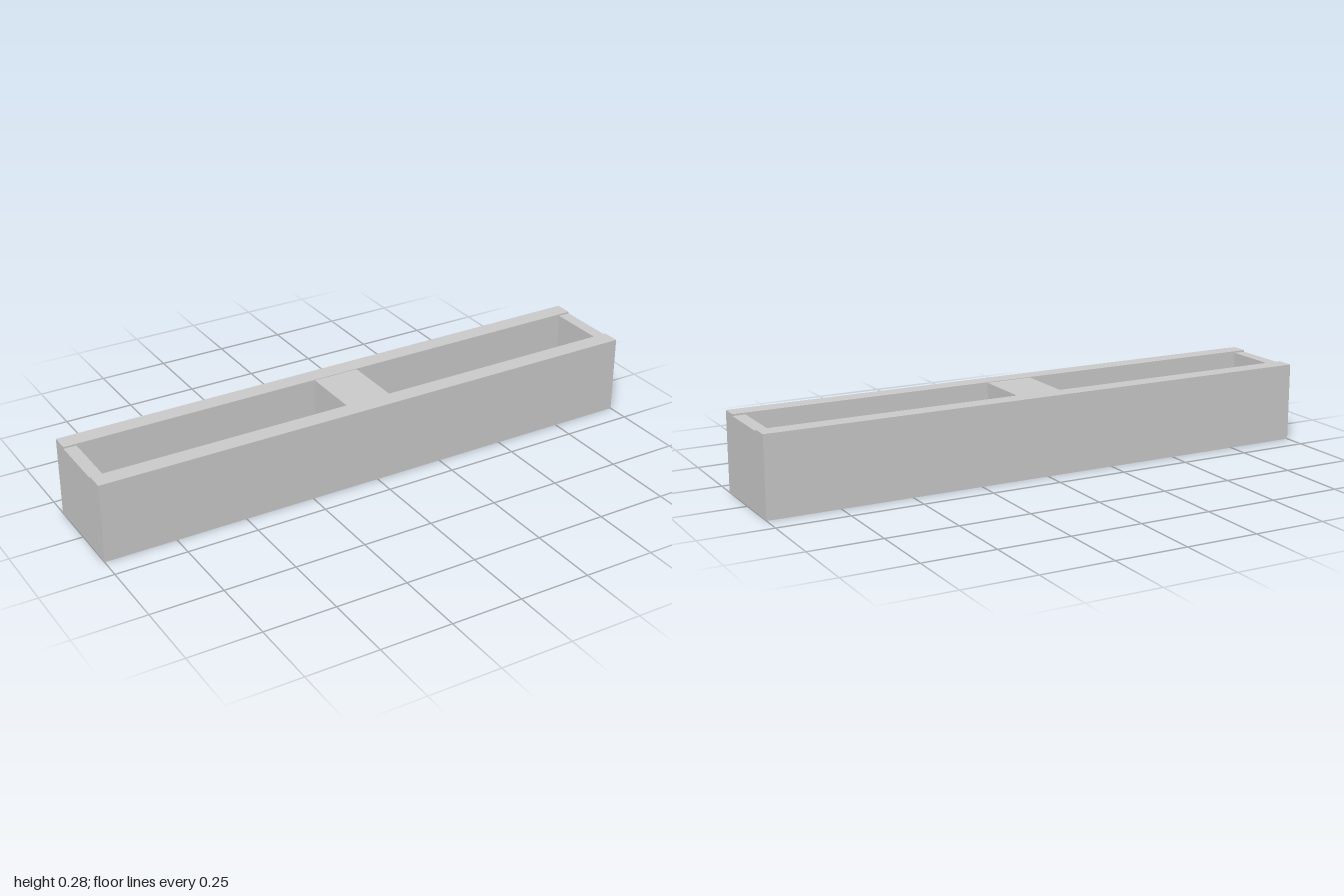
import * as THREE from 'three';

export function createModel() {
  const group = new THREE.Group();
  const material = new THREE.MeshStandardMaterial({ color: 0xcccccc, flatShading: true });

  // Adds a box spanning the given ranges
  function block(name, [x0, x1], [y0, y1], [z0, z1]) {
    const mesh = new THREE.Mesh(new THREE.BoxGeometry(x1 - x0, y1 - y0, z1 - z0), material);
    mesh.position.set((x0 + x1) / 2, (y0 + y1) / 2, (z0 + z1) / 2);
    mesh.name = name;
    group.add(mesh);
  }

  const inner = 0.108; // half the width between the rails

  // Long side rails
  block('frontRail', [-1, 1], [0, 0.277], [inner, 0.171]);
  block('backRail', [-1, 1], [0, 0.277], [-0.171, -inner]);

  // End plates, slightly lower than the rails
  block('leftEndPlate', [0.956, 1], [0.003, 0.271], [-inner, inner]);
  block('rightEndPlate', [-1, -0.956], [0.003, 0.271], [-inner, inner]);

  // Middle spacer, raised off the ground
  block('middleSpacer', [-0.083, 0.083], [0.05, 0.275], [-inner, inner]);

  return group;
}
